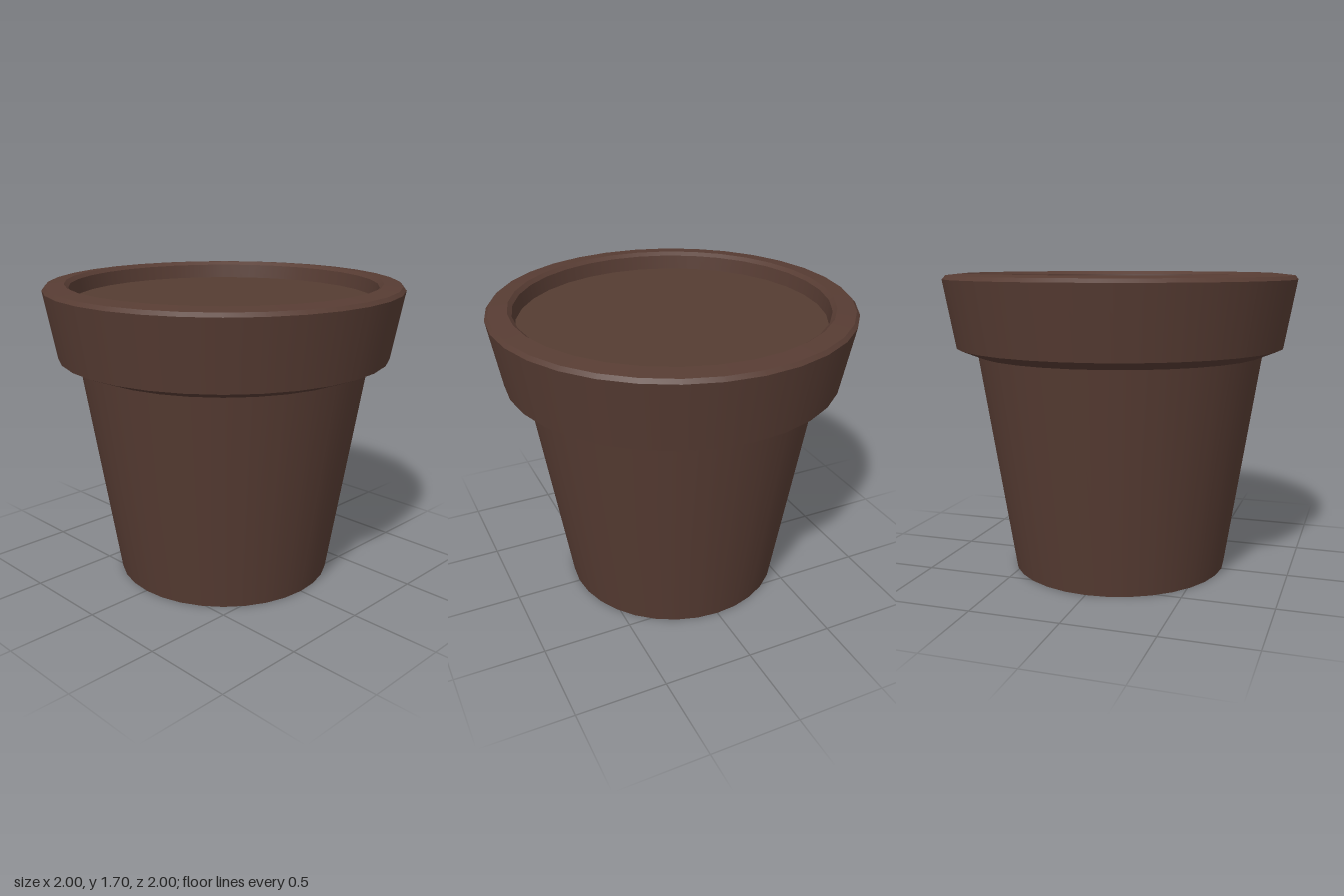
import * as THREE from 'three';

const SIDES = 32;

// One lathe band per profile step: smooth around, sharp between bands
function bands(name, profile, material) {
  const group = new THREE.Group();
  group.name = name;
  for (let i = 0; i < profile.length - 1; i++) {
    const points = [profile[i], profile[i + 1]].map(([r, y]) => new THREE.Vector2(r, y));
    const mesh = new THREE.Mesh(new THREE.LatheGeometry(points, SIDES), material);
    mesh.name = name + 'Band' + (i + 1);
    group.add(mesh);
  }
  return group;
}

export function createModel() {
  const clay = new THREE.MeshStandardMaterial({ color: 0x573c33 });
  clay.name = 'brown clay';
  const earth = new THREE.MeshStandardMaterial({ color: 0x553d32 });
  earth.name = 'dark soil';

  const model = new THREE.Group();
  model.name = 'flowerPot';

  // Closed base and tapered wall
  model.add(bands('body', [[0, 0], [0.62, 0], [0.815, 1.245]], clay));

  // Flared collar with bevelled lip and inner wall
  model.add(bands('rim', [
    [0.815, 1.245], [0.932, 1.292], [1, 1.668], [0.982, 1.688],
    [0.88, 1.699], [0.857, 1.68], [0.845, 1.59],
  ], clay));

  // Flat soil surface just below the lip
  model.add(bands('soil', [[0.847, 1.6], [0, 1.6]], earth));

  return model;
}
